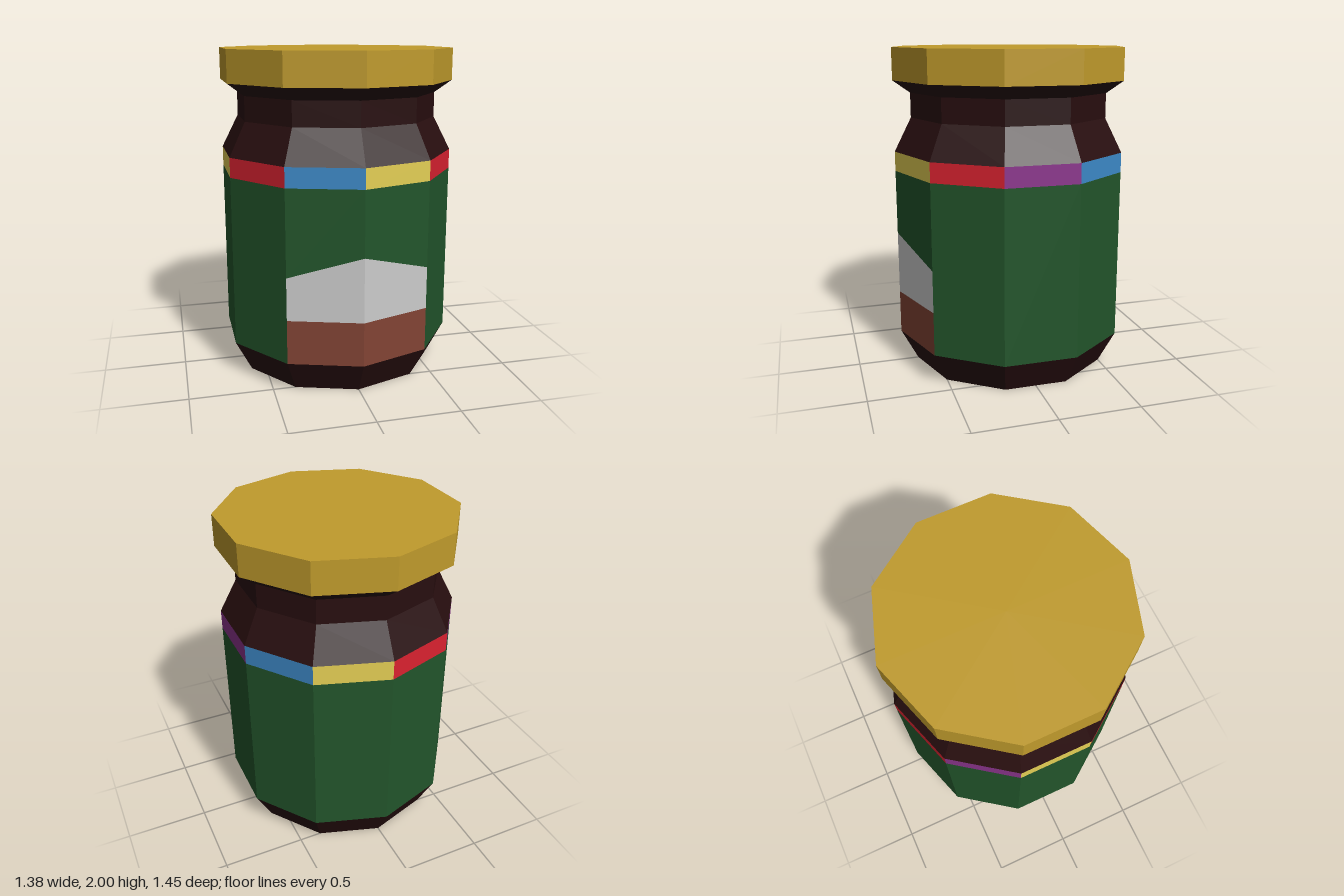
import * as THREE from 'three';

const SIDES = 10, R = 0.725, R_NECK = 0.62;

function mat(color) {
  return new THREE.MeshStandardMaterial({ color, flatShading: true });
}

export function createModel() {
  const jar = new THREE.Group();
  jar.name = 'jar';

  function add(name, geometry, color, parent = jar) {
    const mesh = new THREE.Mesh(geometry, mat(color));
    mesh.name = name;
    parent.add(mesh);
    return mesh;
  }

  // Ten-sided ring with separate facets from a [radius, height] profile
  function turned(profile) {
    const points = profile.map(([r, y]) => new THREE.Vector2(r, y));
    const g = new THREE.LatheGeometry(points, SIDES).toNonIndexed();
    g.computeVertexNormals();
    return g;
  }

  // One flat wall panel on side i; bottom and top are [start, end] heights
  function panel(i, bottom, top) {
    const corner = (k, y) => {
      const a = (k / SIDES) * Math.PI * 2;
      return [R * Math.sin(a), y, R * Math.cos(a)];
    };
    const g = new THREE.BufferGeometry();
    g.setAttribute('position', new THREE.Float32BufferAttribute([
      ...corner(i, bottom[0]), ...corner(i + 1, bottom[1]),
      ...corner(i + 1, top[1]), ...corner(i, top[0]),
    ], 3));
    g.setIndex([0, 1, 2, 0, 2, 3]);
    g.computeVertexNormals();
    return g;
  }

  // Dark glass: tapered base, then shoulder, neck and flare under the lid
  const glass = 0x280e0f;
  add('base', turned([[0, 0], [R_NECK, 0], [R, 0.2]]), glass);
  add('neck', turned([[R, 1.375], [R_NECK, 1.58], [R_NECK, 1.73], [R, 1.805]]), glass);

  // Lid
  const lid = add('lid', new THREE.CylinderGeometry(R, R, 0.195, SIDES), 0xc09b2c);
  lid.position.y = 1.9025;

  // Wrapped label: green wall, coloured top band, picture on the two front sides
  const label = new THREE.Group();
  label.name = 'label';
  jar.add(label);
  const yellow = 0xe4cf55, red = 0xdb2230, purple = 0x8c358d, blue = 0x3d8ac8;
  const band = [yellow, red, purple, blue, yellow, red, purple, yellow, red, blue];
  const low = 0.2, mid = 0.47, eave = 0.73, peak = 0.86, high = 1.255;
  for (let i = 0; i < SIDES; i++) {
    add('bandPanel', panel(i, [high, high], [1.375, 1.375]), band[i], label);
    let greenBottom = [low, low];
    if (i === 0 || i === SIDES - 1) {
      greenBottom = i === 0 ? [peak, eave] : [eave, peak];
      add('pictureLower', panel(i, [low, low], [mid, mid]), 0x824334, label);
      add('pictureUpper', panel(i, [mid, mid], greenBottom), 0xcccccc, label);
    }
    add('labelPanel', panel(i, greenBottom, [high, high]), 0x22552b, label);
  }
  return jar;
}
